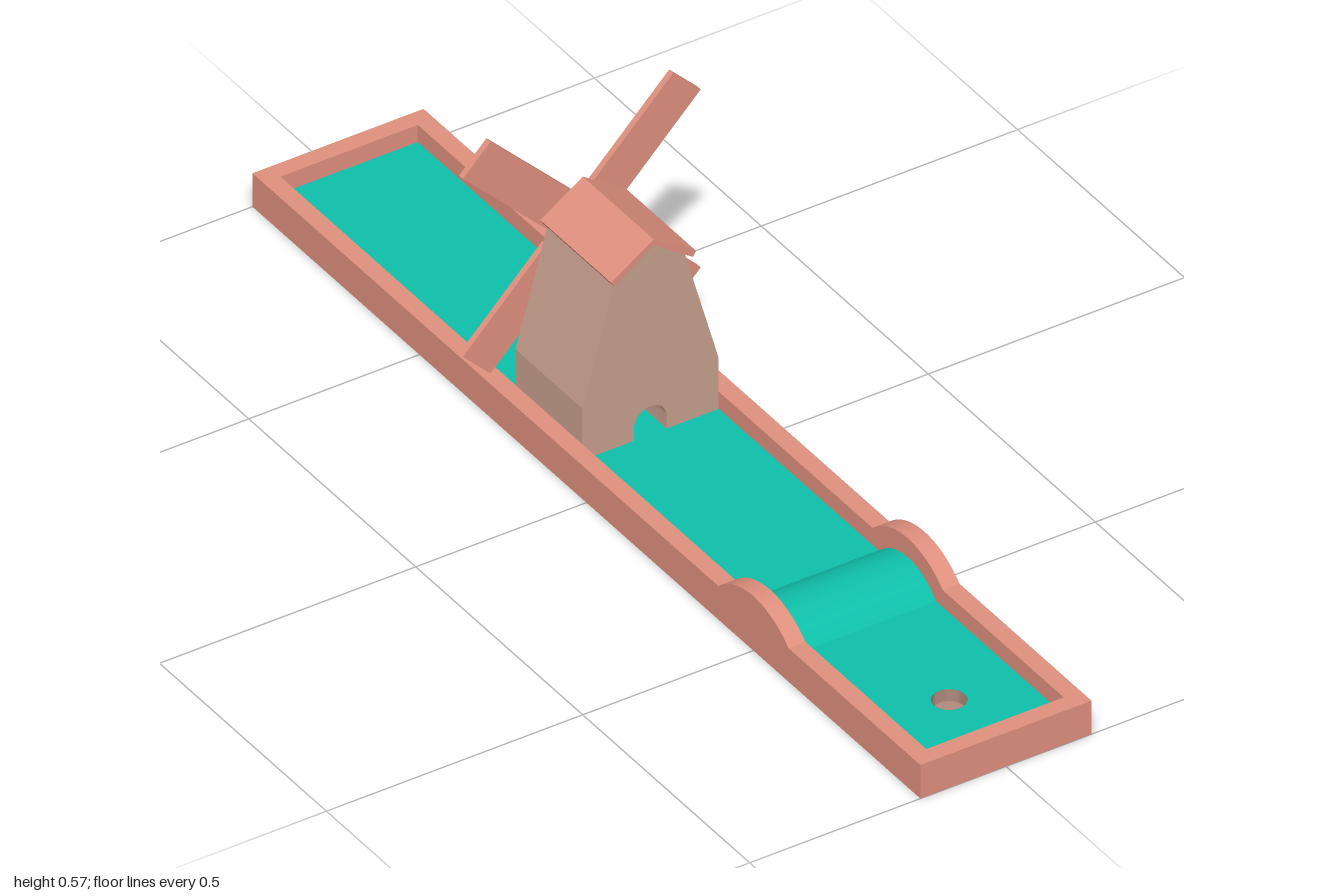
import * as THREE from 'three';
import { toCreasedNormals } from 'three/addons/utils/BufferGeometryUtils.js';

const paint = (color, side = THREE.FrontSide) => new THREE.MeshStandardMaterial({ color, side });
const wood = paint(0xe0907e), clay = paint(0xc7a08e), turf = paint(0x0fc0aa);

const W = 0.167, T = 0.033, WALL = 0.067, FLOOR = 0.033;
const BUMP_Z = 0.5, BUMP_Y = -0.043;

function add(parent, name, geometry, material, x = 0, y = 0, z = 0) {
  const mesh = new THREE.Mesh(geometry, material);
  mesh.name = name;
  mesh.position.set(x, y, z);
  parent.add(mesh);
  return mesh;
}

function extrude(shape, depth, curveSegments = 24) {
  return new THREE.ExtrudeGeometry(shape, { depth, bevelEnabled: false, curveSegments });
}

function polygon(points) {
  return new THREE.Shape(points.map(([x, y]) => new THREE.Vector2(x, y)));
}

// Side profile drawn as (z, y), extruded across x and centred
function across(shape, width) {
  const g = extrude(shape, width).translate(0, 0, -width / 2).rotateY(-Math.PI / 2);
  return toCreasedNormals(g, 0.45);
}

// Arc over the bump, meeting the height y at both ends
function bumpArc(shape, radius, y) {
  const a = Math.asin((y - BUMP_Y) / radius);
  shape.absarc(BUMP_Z, BUMP_Y, radius, a, Math.PI - a, false);
}

function createCourse() {
  const course = new THREE.Group();
  course.name = 'course';

  // Base slab and turf with the hole cut out
  add(course, 'base', new THREE.BoxGeometry(2 * (W - T), 0.008, 2 - 2 * T), wood, 0, 0.004, 0);
  const w = W - T, l = 1 - T;
  const lawn = polygon([[-w, -l], [w, -l], [w, l], [-w, l]]);
  const hole = new THREE.Path();
  hole.absarc(0, -0.83, 0.03, 0, Math.PI * 2, true);
  lawn.holes.push(hole);
  add(course, 'turf', extrude(lawn, FLOOR - 0.008, 12).rotateX(-Math.PI / 2), turf, 0, 0.008, 0);

  // Cup
  const cup = new THREE.LatheGeometry(
    [[0, 0.009], [0.0295, 0.009], [0.0295, FLOOR]].map(p => new THREE.Vector2(...p)), 24);
  add(course, 'cup', toCreasedNormals(cup, 0.6), paint(0xb08a7c, THREE.DoubleSide), 0, 0, 0.83);

  // Turf bump
  const mound = new THREE.Shape();
  bumpArc(mound, 0.114, FLOOR - 0.001);
  mound.closePath();
  add(course, 'turfBump', across(mound, 2 * w), turf);

  // Side walls rising over the bump
  const wall = new THREE.Shape();
  wall.moveTo(-1, 0);
  wall.lineTo(1, 0);
  wall.lineTo(1, WALL);
  bumpArc(wall, 0.152, WALL);
  wall.lineTo(-1, WALL);
  wall.closePath();
  for (const s of [-1, 1]) {
    add(course, s > 0 ? 'leftWall' : 'rightWall', across(wall, T), wood, s * (W - T / 2), 0, 0);
    add(course, s > 0 ? 'frontWall' : 'backWall', new THREE.BoxGeometry(2 * w, WALL, T), wood,
      0, WALL / 2, s * (1 - T / 2));
  }
  return course;
}

function createWindmill() {
  const mill = new THREE.Group();
  mill.name = 'windmill';

  // Tower with an arched tunnel for the ball
  const r = 0.032, spring = 0.058;
  const tower = new THREE.Shape();
  tower.moveTo(r, FLOOR);
  for (const [x, y] of [[0.133, FLOOR], [0.133, 0.137], [0.066, 0.374], [0, 0.419],
    [-0.066, 0.374], [-0.133, 0.137], [-0.133, FLOOR], [-r, FLOOR], [-r, spring]]) tower.lineTo(x, y);
  tower.absarc(0, spring, r, Math.PI, 0, true);
  tower.closePath();
  add(mill, 'tower', toCreasedNormals(extrude(tower, 0.2, 12), 0.25), clay, 0, 0, -0.265);

  // Gabled roof
  const roof = polygon([[0, 0.43], [-0.083, 0.375], [-0.077, 0.365], [0, 0.418], [0.077, 0.365], [0.083, 0.375]]);
  add(mill, 'roof', extrude(roof, 0.212), wood, 0, 0, -0.267);

  // Sails on the back
  const sails = new THREE.Group();
  sails.name = 'sails';
  sails.position.set(0, 0.335, -0.276);
  mill.add(sails);
  const armShape = polygon([[0, -0.014], [0.05, -0.009], [0.07, -0.02], [0.07, 0.02], [0.05, 0.009], [0, 0.014]]);
  const armGeometry = extrude(armShape, 0.009).translate(0, 0, -0.0045);
  for (let i = 0; i < 4; i++) {
    const sail = new THREE.Group();
    sail.name = 'sail';
    sail.rotation.z = Math.PI / 4 + i * Math.PI / 2;
    add(sail, 'arm', armGeometry, wood);
    add(sail, 'blade', new THREE.BoxGeometry(0.23, 0.076, 0.012), wood, 0.175, 0, 0);
    sails.add(sail);
  }
  const disc = (radius, depth) => new THREE.CylinderGeometry(radius, radius, depth, 20).rotateX(Math.PI / 2);
  add(sails, 'hub', disc(0.022, 0.016), wood);
  add(sails, 'hubCap', disc(0.01, 0.008), clay, 0, 0, -0.009);
  add(sails, 'axle', disc(0.01, 0.03), clay, 0, 0, 0.012);
  return mill;
}

export function createModel() {
  const model = new THREE.Group();
  model.name = 'miniGolfHole';
  model.add(createCourse(), createWindmill());
  return model;
}
